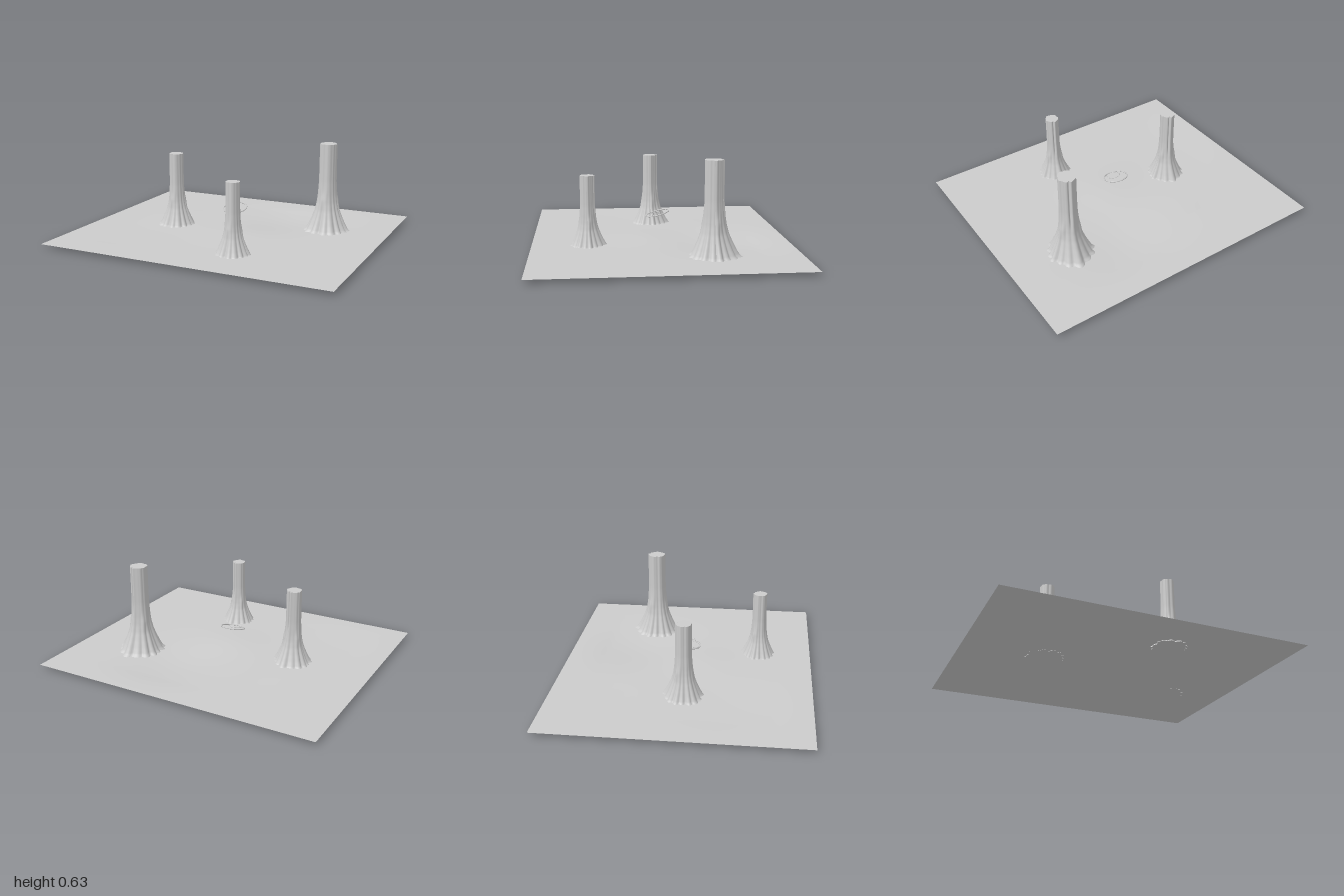
import * as THREE from 'three';

const grey = new THREE.MeshStandardMaterial({ color: 0xcccccc });
const greySheet = new THREE.MeshStandardMaterial({ color: 0xcccccc, side: THREE.DoubleSide });

const hill = (x, z, cx, cz, w) => Math.exp(-((x - cx) ** 2 + (z - cz) ** 2) / (w * w));

// Gentle terrain: a hollow towards the back, a low rise in the middle, flat at the rim
function groundHeight(x, z) {
  const rim = Math.min(1, (1 - Math.abs(x)) * 4, (0.86 - Math.abs(z)) * 4);
  const relief = -0.024 * hill(x, z, 0.25, -0.4, 0.32)
    + 0.01 * hill(x, z, 0.05, 0.08, 0.22)
    - 0.007 * hill(x, z, -0.6, 0.3, 0.35);
  return 0.027 + relief * Math.max(0, rim);
}

// Horizontal sheet that follows a height rule
function sheet(name, x0, x1, z0, z1, nx, nz, height) {
  const geo = new THREE.PlaneGeometry(x1 - x0, z1 - z0, nx, nz).rotateX(-Math.PI / 2);
  geo.translate((x0 + x1) / 2, 0, (z0 + z1) / 2);
  const p = geo.attributes.position;
  for (let i = 0; i < p.count; i++) p.setY(i, height(p.getX(i), p.getZ(i)));
  geo.computeVertexNormals();
  const mesh = new THREE.Mesh(geo, greySheet);
  mesh.name = name;
  return mesh;
}

// Trunk profile as [radius, height], for the tallest trunk
const profile = [[0.15, 0], [0.135, 0.015], [0.118, 0.05], [0.098, 0.1], [0.081, 0.15], [0.07, 0.2],
  [0.064, 0.25], [0.061, 0.3], [0.058, 0.35], [0.057, 0.45], [0.057, 0.61]];

function radiusAt(y) {
  let i = 0;
  while (i < profile.length - 2 && profile[i + 1][1] < y) i++;
  const [r0, y0] = profile[i], [r1, y1] = profile[i + 1];
  return THREE.MathUtils.lerp(r0, r1, (y - y0) / (y1 - y0));
}

// Fluted trunk flaring into lobed roots, with a groove down the upper back
function trunkGeometry() {
  const sides = 112, rows = 44, H = 0.61, pos = [], idx = [];
  const add = (a, r, y) => pos.push(Math.cos(a) * r, y, Math.sin(a) * r);
  const surfaceRadius = (a, y) => {
    const flare = Math.max(0, 1 - y / 0.3);
    const roots = Math.abs(Math.sin(a * 7.5 + 0.6 * Math.sin(a * 2))) - 0.6;
    const bark = Math.cos(a * 5 + 0.5) + 0.5 * Math.cos(a * 9 + 1);
    const back = Math.max(0, Math.cos(a + Math.PI / 2));
    let k = 1 + (0.03 + 0.11 * flare) * roots + 0.045 * bark;
    // Burls at the end of the roots
    k += 0.12 * Math.exp(-(((y - 0.22) / 0.05) ** 2)) * Math.max(0, Math.cos(a * 3 + 1.2)) ** 3;
    // Swollen back edge and its groove
    k += back ** 3 * 0.12;
    const groove = Math.exp(-(((a - 1.5 * Math.PI - 0.28) / 0.11) ** 2));
    k -= 0.28 * groove * THREE.MathUtils.smoothstep(y, 0.2, 0.36);
    return radiusAt(y) * k;
  };
  for (let j = 0; j <= rows; j++) {
    const y = H * (j / rows) ** 1.4;
    for (let i = 0; i <= sides; i++) {
      const a = (i / sides) * Math.PI * 2;
      add(a, surfaceRadius(a, y), y);
    }
  }
  const w = sides + 1;
  for (let j = 0; j < rows; j++) for (let i = 0; i < sides; i++) {
    const a = j * w + i, b = a + w;
    idx.push(a, b, a + 1, a + 1, b, b + 1);
  }
  // Flat cut top with its own vertices so the rim stays sharp
  const rim = pos.length / 3;
  for (let i = 0; i <= sides; i++) {
    const a = (i / sides) * Math.PI * 2;
    add(a, surfaceRadius(a, H), H);
  }
  const centre = pos.length / 3;
  pos.push(0, H, 0);
  for (let i = 0; i < sides; i++) idx.push(centre, rim + i + 1, rim + i);
  const geo = new THREE.BufferGeometry();
  geo.setAttribute('position', new THREE.Float32BufferAttribute(pos, 3));
  geo.setIndex(idx);
  geo.computeVertexNormals();
  return geo;
}

export function createModel() {
  const model = new THREE.Group();
  model.name = 'clearing';

  // Ground and the overlapping inner patch
  model.add(sheet('ground', -1, 1, -0.86, 0.855, 80, 70, groundHeight));
  model.add(sheet('innerPatch', -0.51, 0.52, -0.46, 0.42, 50, 44,
    (x, z) => groundHeight(x, z) + 0.003 - 0.006 * hill(x, z, -0.51, -0.46, 0.12)));

  // Three trunks of one form at different sizes: x, base y, z, scale
  const trunk = trunkGeometry();
  [['backLeftTrunk', 0.565, 0.02, -0.293, 1],
    ['rightTrunk', -0.45, 0.02, 0.022, 0.845],
    ['frontTrunk', 0.215, 0.018, 0.487, 0.774]].forEach(([name, x, y, z, s]) => {
    const mesh = new THREE.Mesh(trunk, grey);
    mesh.name = name;
    mesh.position.set(x, y, z);
    mesh.scale.setScalar(s);
    model.add(mesh);
  });

  // Tilted floating hoop with a smaller hoop inside, low at the front
  const hoops = new THREE.Group();
  hoops.name = 'floatingHoops';
  hoops.position.set(0, 0.187, 0.005);
  hoops.rotation.x = 0.24;
  [['outerHoop', 0.081, 0, 0.004], ['innerHoop', 0.046, 0.031, 0.002]].forEach(([name, r, z, t]) => {
    const hoop = new THREE.Mesh(new THREE.TorusGeometry(r, t, 8, 64).rotateX(Math.PI / 2), grey);
    hoop.name = name;
    hoop.position.z = z;
    hoops.add(hoop);
  });
  model.add(hoops);
  return model;
}
